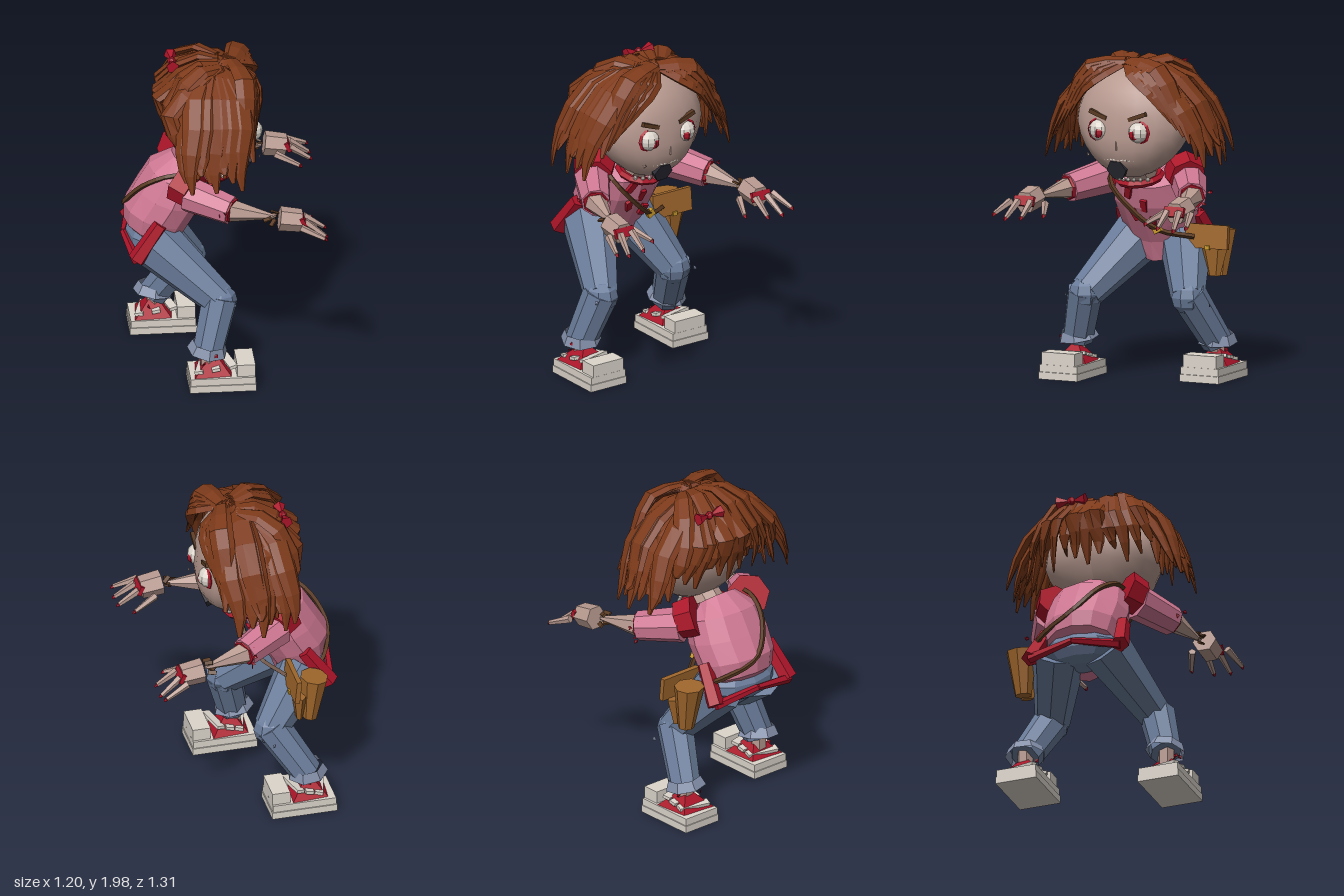
import * as THREE from 'three';

const V = (x, y, z) => new THREE.Vector3(x, y, z);
const mat = (color) => new THREE.MeshStandardMaterial({ color, flatShading: true, side: THREE.DoubleSide });
const skin = mat(0xb89a90), hair = mat(0x7d3a1a), pink = mat(0xcf7893), red = mat(0xab1428), jeans = mat(0x6b7d9b),
  cuffBlue = mat(0x8591ab), white = mat(0xdcd5cc), leather = mat(0xa0672c), strapBrown = mat(0x5a3a22),
  dark = mat(0x2b2b35), gold = mat(0xc9992a);

export function createModel() {
  const model = new THREE.Group();
  const add = (name, geo, m, p = [0, 0, 0], r = [0, 0, 0], s = [1, 1, 1]) => {
    const mesh = new THREE.Mesh(geo, m);
    mesh.name = name;
    mesh.position.set(...p);
    mesh.rotation.set(...r);
    mesh.scale.set(...s);
    model.add(mesh);
    return mesh;
  };
  const box = (name, m, size, p, r) => add(name, new THREE.BoxGeometry(...size), m, p, r);
  // tapered bar from a to b
  const rod = (name, m, a, b, ra, rb, sides = 8) => {
    const A = V(...a), d = V(...b).sub(A);
    const mesh = add(name, new THREE.CylinderGeometry(rb, ra, d.length(), sides), m);
    mesh.position.copy(A).addScaledVector(d, 0.5);
    mesh.quaternion.setFromUnitVectors(V(0, 1, 0), d.normalize());
    return mesh;
  };
  // skin over a row of rings, closed at both ends
  const loft = (rings) => {
    const n = rings[0].length, pos = [], idx = [];
    rings.forEach((ring) => ring.forEach((p) => pos.push(p.x, p.y, p.z)));
    for (let i = 0; i < rings.length - 1; i++) for (let j = 0; j < n; j++) {
      const a = i * n + j, b = i * n + (j + 1) % n;
      idx.push(a, b, a + n, b, b + n, a + n);
    }
    const e = (rings.length - 1) * n;
    for (let j = 1; j < n - 1; j++) idx.push(0, j + 1, j, e, e + j, e + j + 1);
    const g = new THREE.BufferGeometry();
    g.setAttribute('position', new THREE.Float32BufferAttribute(pos, 3));
    g.setIndex(idx);
    g.computeVertexNormals();
    return g;
  };
  let seed = 7;
  const rnd = () => (seed = (seed * 16807) % 2147483647) / 2147483647;
  const jit = (a) => (rnd() - 0.5) * 2 * a;

  // torso, leaning forward (+x)
  const sections = [[-0.2, 1.31, 0.08, 0.13], [-0.24, 1.23, 0.18, 0.24], [-0.3, 1.1, 0.2, 0.26],
    [-0.37, 0.98, 0.2, 0.25], [-0.4, 0.88, 0.17, 0.22], [-0.37, 0.76, 0.1, 0.1]];
  add('torso', loft(sections.map(([x, y, rx, rz]) => Array.from({ length: 12 }, (_, j) => {
    const a = j / 12 * Math.PI * 2;
    return V(x + rx * Math.cos(a), y + 0.06 * Math.cos(a) * -1, rz * Math.sin(a));
  }))), pink);
  rod('neck', skin, [-0.16, 1.22, 0], [-0.02, 1.36, 0], 0.1, 0.09);
  add('collar', new THREE.TorusGeometry(0.13, 0.025, 5, 12), red, [-0.08, 1.24, 0], [Math.PI / 2, -0.25, 0]);
  for (let i = -3; i <= 3; i++)
    add('bead', new THREE.SphereGeometry(0.014, 6, 4), white, [0.07 - i * i * 0.006, 1.24, i * 0.035]);
  [[-0.07, 1.14, 0.07], [-0.13, 1, 0.05], [-0.1, 1.06, -0.02], [-0.14, 0.95, -0.06]].forEach((p) =>
    box('chestTear', red, [0.02, 0.08, 0.04], p, [jit(0.4), 0, -0.5]));

  // hem bands
  const hem = [[-0.37, 1, 0.25], [-0.52, 0.79, 0.29], [-0.57, 0.84, 0]];
  for (const s of [1, -1]) {
    const P = hem.map(([x, y, z]) => [x, y, z * s]);
    rod('hemSide', red, P[0], P[1], 0.045, 0.055, 5);
    rod('hemBack', red, P[1], P[2], 0.03, 0.02, 5);
  }

  // legs and shoes: s is the z side, dx the stride offset
  add('hips', new THREE.SphereGeometry(0.2, 10, 7), jeans, [-0.4, 0.84, 0], [0, 0, 0], [0.8, 0.6, 1.25]);
  for (const [s, kx, kz, ax, az] of [[1, -0.02, 0.33, -0.1, 0.42], [-1, -0.15, 0.29, -0.35, 0.385]]) {
    const knee = [kx, 0.52, kz * s];
    rod('thigh', jeans, [-0.4, 0.84, 0.15 * s], knee, 0.165, 0.105);
    add('knee', new THREE.SphereGeometry(0.105, 8, 6), jeans, knee);
    rod('shin', jeans, [kx, 0.54, kz * s], [ax, 0.23, az * s], 0.11, 0.095);
    add('trouserCuff', new THREE.CylinderGeometry(0.1, 0.125, 0.06, 7, 1, true), cuffBlue, [ax, 0.26, az * s], [0.1 * s, 0, -0.15]);
    rod('ankle', skin, [ax, 0.14, az * s], [ax, 0.26, az * s], 0.05, 0.05, 6);
    const fx = s > 0 ? -0.02 : -0.305, fz = (s > 0 ? 0.415 : 0.385) * s;
    [[0.035, 0.4, 0.26], [0.08, 0.39, 0.25]].forEach(([y, l, w]) => box('sole', white, [l, 0.044, w], [fx, y, fz]));
    box('toeCap', white, [0.11, 0.075, 0.22], [fx + 0.14, 0.14, fz]);
    add('shoeUpper', new THREE.ConeGeometry(0.17, 0.13, 4), red, [fx - 0.05, 0.165, fz], [0, Math.PI / 4, 0], [1, 1, 0.85]);
    for (let i = 0; i < 3; i++)
      box('shoeStrap', white, [0.05, 0.02, 0.2], [fx - 0.12 + i * 0.08, 0.13 + i * 0.015, fz], [0, 0.25 * (i - 1), 0.2]);
  }

  // arms reaching forward
  for (const s of [1, -1]) {
    const sh = [-0.2, 1.21, 0.27 * s], cuff = [0.04, 1.16, 0.41 * s], wrist = [0.3, 1.14, 0.48 * s];
    rod('shoulderBand', red, [-0.25, 1.27, 0.21 * s], [-0.17, 1.235, 0.28 * s], 0.13, 0.115, 7);
    rod('sleeve', pink, sh, cuff, 0.11, 0.09);
    rod('sleeveCuff', red, [0.02, 1.165, 0.4 * s], [0.05, 1.16, 0.42 * s], 0.085, 0.075, 7);
    rod('forearm', skin, cuff, wrist, 0.07, 0.012, 6);
    for (let i = 0; i < 5; i++)
      box('wristShred', strapBrown, [0.05, 0.012, 0.025], [0.27 + jit(0.03), 1.14 + jit(0.035), (0.48 + jit(0.04)) * s], [jit(1), jit(1), jit(1)]);
    rod('hand', skin, [0.32, 1.14, 0.5 * s], [0.45, 1.12, 0.5 * s], 0.075, 0.07, 6);
    box('knuckleWound', red, [0.025, 0.06, 0.13], [0.46, 1.13, 0.5 * s], [0, 0, 0.4]);
    [[0.38, 1.11, 0.4, 0.52, 1.06, 0.34], [0.47, 1.13, 0.455, 0.59, 1.05, 0.455],
      [0.47, 1.13, 0.535, 0.59, 1.04, 0.56], [0.44, 1.12, 0.6, 0.58, 1.06, 0.64]].forEach((f) => {
      rod('finger', skin, [f[0], f[1], f[2] * s], [f[3], f[4], f[5] * s], 0.024, 0.014, 5);
      rod('fingertip', red, [f[3], f[4], f[5] * s], [f[3] + 0.015, f[4] - 0.015, f[5] * s], 0.016, 0.004, 4);
    });
  }

  // head: sphere narrowed toward a forward chin
  const head = new THREE.SphereGeometry(1, 18, 14), hp = head.attributes.position;
  for (let i = 0; i < hp.count; i++) {
    const y = hp.getY(i), low = Math.max(0, -y);
    hp.setXYZ(i, -0.03 + hp.getX(i) * 0.26 + low * 0.06, 1.58 + y * 0.33, hp.getZ(i) * 0.37 * (1 - 0.2 * low));
  }
  head.computeVertexNormals();
  const headSkin = skin.clone();
  headSkin.flatShading = false;
  add('head', head, headSkin);
  for (const s of [1, -1]) {
    add('eye', new THREE.SphereGeometry(0.065, 10, 8), white, [0.19, 1.55, 0.13 * s]);
    add('iris', new THREE.SphereGeometry(0.035, 6, 5), red, [0.232, 1.54, 0.12 * s], [0, 0, 0], [0.7, 1, 1]);
    add('eyeSocket', new THREE.TorusGeometry(0.066, 0.012, 4, 10), red, [0.195, 1.55, 0.13 * s], [0, Math.PI / 2, 0]);
    box('eyebrow', strapBrown, [0.025, 0.025, 0.12], [0.21, 1.645, 0.13 * s], [-0.35 * s, 0, 0]);
  }
  add('nose', new THREE.ConeGeometry(0.025, 0.05, 4), skin, [0.225, 1.47, 0], [0, 0, -0.5]);
  add('mouth', new THREE.CylinderGeometry(0.065, 0.065, 0.05, 6), dark, [0.165, 1.32, 0.02], [0, 0, Math.PI / 2 - 0.35]);
  for (let i = -4; i <= 4; i++)
    box('tooth', white, [0.02, 0.025, 0.016], [0.2 - i * i * 0.001, 1.385, i * 0.023]);

  // hair locks: flat tapered lofts that follow the head outward
  const lock = (pts, w) => {
    const curve = new THREE.CatmullRomCurve3(pts.map((p) => V(...p))), N = 6, rings = [];
    for (let i = 0; i <= N; i++) {
      const t = i / N, c = curve.getPoint(t), tan = curve.getTangent(t);
      const out = c.clone().sub(V(-0.05, 1.5, 0));
      out.addScaledVector(tan, -out.dot(tan)).normalize();
      const side = tan.clone().cross(out), k = w * (0.1 + 0.9 * Math.sin(Math.PI * (0.2 + 0.78 * t)));
      rings.push(Array.from({ length: 6 }, (_, j) => {
        const a = j / 6 * Math.PI * 2 + 0.4;
        return c.clone().addScaledVector(out, 0.4 * k * Math.cos(a)).addScaledVector(side, k * Math.sin(a));
      }));
    }
    add('hairLock', loft(rings), hair);
  };
  for (const s of [1, -1]) {
    // fringe parted in the middle
    for (let i = 0; i < 4; i++)
      lock([[0.02 + 0.02 * i, 1.96, s * 0.01], [0.17 - 0.01 * i, 1.9 + 0.01 * i, s * (0.11 + 0.04 * i)],
        [0.2 - 0.02 * i, 1.8 - 0.02 * i, s * (0.23 + 0.04 * i)], [0.17, 1.62 - 0.04 * i, s * (0.34 + 0.04 * i)]], 0.075);
    // side locks sweeping out and down
    for (let i = 0; i < 8; i++) {
      const x = 0.1 - 0.045 * i + jit(0.02), o = jit(0.03);
      lock([[-0.02, 1.94 + jit(0.01), s * 0.03], [x * 0.8, 1.88 + o, s * 0.24], [x, 1.7 + o, s * (0.42 + o)],
        [x - 0.03, 1.52, s * (0.5 + o)], [x - 0.02, 1.35 + 0.06 * (i % 3), s * (0.54 + o)]], 0.075);
    }
    // inner locks in front of the ears
    for (let i = 0; i < 4; i++)
      lock([[-0.05 * i, 1.93, s * 0.1], [0.04 - 0.08 * i, 1.78, s * 0.35], [0.02 - 0.08 * i, 1.56, s * 0.4],
        [-0.08 * i, 1.38 + 0.04 * (i % 2), s * 0.42]], 0.06);
  }
  // back locks
  for (let i = -5; i <= 5; i++) {
    const z = i * 0.065, o = jit(0.03), back = -0.36 + Math.abs(z) * 0.2;
    lock([[0, 1.95, z * 0.3], [-0.16, 1.93 + o, z * 0.7], [back + o, 1.76, z], [back + 0.02, 1.62, z * 1.15],
      [back + 0.06 + o, 1.46 + 0.05 * (Math.abs(i) % 3), z * 1.2]], 0.065);
  }
  // hair bow
  for (const s of [1, -1])
    add('bowLoop', new THREE.ConeGeometry(0.04, 0.09, 5), red, [-0.27, 1.91, -0.12 + 0.045 * s], [-s * Math.PI / 2, 0, 0]);
  add('bowKnot', new THREE.SphereGeometry(0.025, 6, 5), red, [-0.27, 1.91, -0.12]);

  // satchel with strap on the -z hip
  add('satchelBody', new THREE.CylinderGeometry(0.13, 0.07, 0.28, 8), leather, [-0.38, 0.77, -0.39], [0, 0, 0.1], [0.65, 1, 0.75]);
  box('satchelFlap', leather, [0.03, 0.145, 0.28], [-0.27, 0.875, -0.36], [0, 0, 0.1]);
  add('satchelPoint', new THREE.CylinderGeometry(0.11, 0.05, 0.17, 6), leather, [-0.3, 0.72, -0.39], [0, 0, 0], [0.4, 1, 0.8]);
  box('satchelClasp', gold, [0.02, 0.025, 0.03], [-0.25, 0.81, -0.37]);
  const strap = [[-0.25, 0.87, -0.28], [-0.12, 0.92, -0.1], [-0.06, 1.07, 0.08], [-0.07, 1.2, 0.19], [-0.25, 1.3, 0.2],
    [-0.45, 1.22, 0.14], [-0.565, 1.04, 0], [-0.5, 0.94, -0.22], [-0.38, 0.88, -0.34]].map((p) => V(...p));
  add('satchelStrap', new THREE.TubeGeometry(new THREE.CatmullRomCurve3(strap), 32, 0.016, 4), strapBrown);
  box('strapBuckle', gold, [0.03, 0.04, 0.05], [-0.12, 0.92, -0.1], [0.5, 0, 0]);

  // loose torn scraps around wounds and cloth
  [[0.15, 1.48, 0, skin, 0.2], [-0.02, 1.14, 0.42, red, 0.1], [-0.02, 1.14, -0.42, red, 0.1], [0.03, 0.55, 0.36, cuffBlue, 0.07],
    [-0.13, 0.5, -0.36, cuffBlue, 0.08], [-0.1, 0.2, 0.42, red, 0.1], [-0.35, 0.2, -0.38, red, 0.1]].forEach(([x, y, z, m, r]) => {
    for (let i = 0; i < 6; i++)
      add('scrap', new THREE.TetrahedronGeometry(0.018), m, [x + jit(r * 0.5), y + jit(r * 0.6), z + jit(r)], [jit(3), jit(3), 0], [1, 1, 0.3]);
  });
  return model;
}
